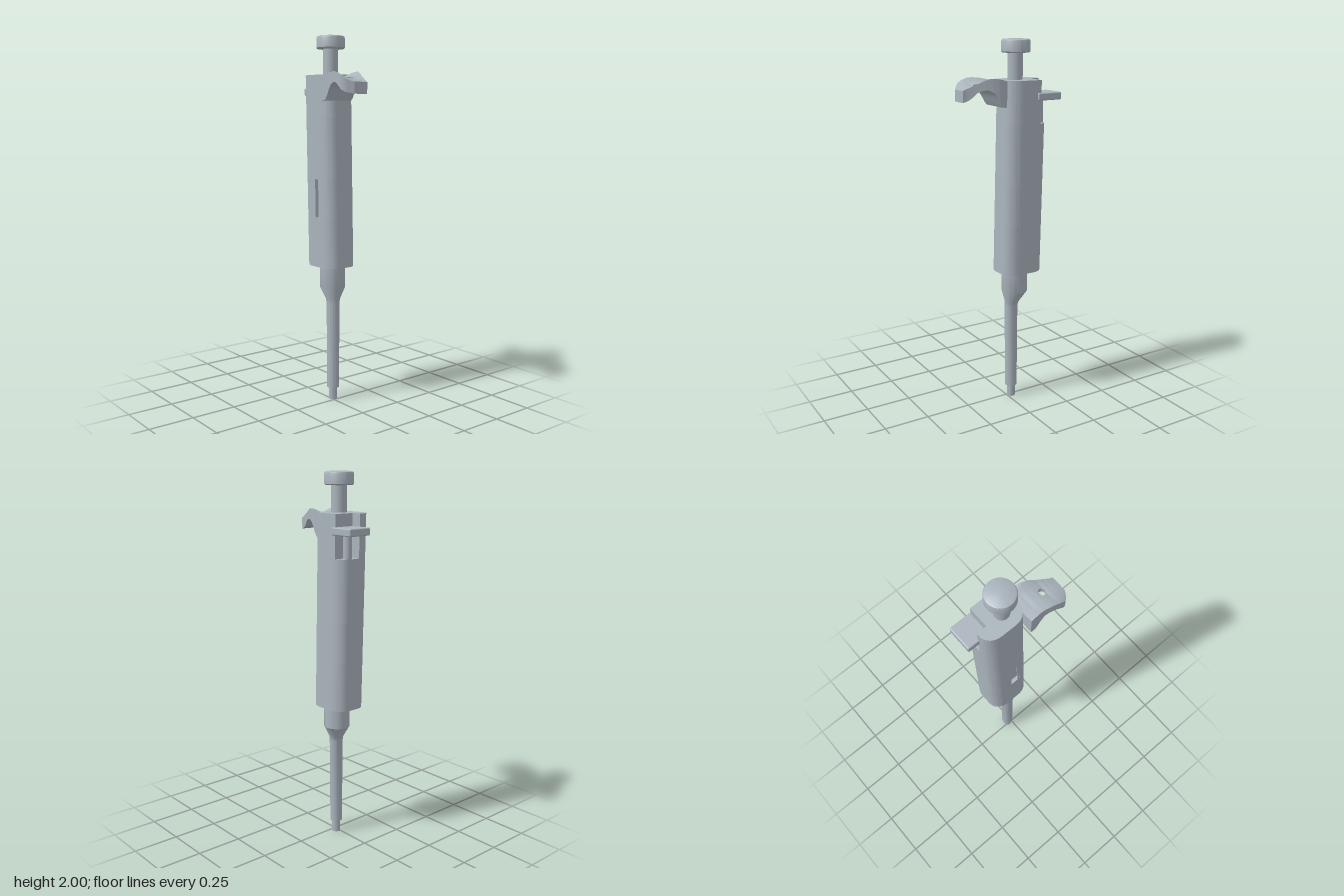
import * as THREE from 'three';
import { toCreasedNormals } from 'three/addons/utils/BufferGeometryUtils.js';
import { RoundedBoxGeometry } from 'three/addons/geometries/RoundedBoxGeometry.js';

const grey = new THREE.MeshStandardMaterial({ color: 0xaab4bc });
grey.name = 'cool grey';

// Piecewise-linear lookup through [x, y] points
function lookup(points, x) {
  if (x <= points[0][0]) return points[0][1];
  for (let i = 1; i < points.length; i++) {
    const [x0, y0] = points[i - 1], [x1, y1] = points[i];
    if (x <= x1) return y0 + (y1 - y0) * (x - x0) / (x1 - x0);
  }
  return points[points.length - 1][1];
}

function part(name, geometry) {
  const mesh = new THREE.Mesh(geometry, grey);
  mesh.name = name;
  return mesh;
}

function lathe(profile) {
  return new THREE.LatheGeometry(profile.map(([r, y]) => new THREE.Vector2(r, y)), 48);
}

// Move vertices by a rule, then rebuild normals with sharp edges kept
function reshape(geometry, rule) {
  const pos = geometry.attributes.position, v = new THREE.Vector3();
  for (let i = 0; i < pos.count; i++) {
    rule(v.fromBufferAttribute(pos, i));
    pos.setXYZ(i, v.x, v.y, v.z);
  }
  return toCreasedNormals(geometry, 0.5);
}

// Handle cross-section (x, -z), optionally with the rear notch or the front window recess
function handleSection({ notch, window }) {
  const L = -0.197, R = 0.04, F = -0.077, B = 0.12, cx = 0.08, cy = 0.07, k = 0.4;
  const s = new THREE.Shape();
  s.moveTo(L + cx, F);
  if (window) {
    const a = -0.054, b = a - 0.0, w = 0.054, x0 = b - w / 2, x1 = b + w / 2;
    s.lineTo(x0, F).lineTo(x0, F + 0.02).lineTo(x1, F + 0.02).lineTo(x1, F);
  }
  s.lineTo(R - cx, F);
  s.bezierCurveTo(R - cx * k, F, R, F + cy * k, R, F + cy);
  s.lineTo(R, B - cy);
  s.bezierCurveTo(R, B - cy * k, R - cx * k, B, R - cx, B);
  if (notch) {
    s.lineTo(-0.142, B).lineTo(-0.142, 0.005).lineTo(L, 0.005);
  } else {
    s.lineTo(L + cx, B);
    s.bezierCurveTo(L + cx * k, B, L, B - cy * k, L, B - cy);
  }
  s.lineTo(L, F + cy);
  s.bezierCurveTo(L, F + cy * k, L + cx * k, F, L + cx, F);
  return s;
}

// One length of the handle, leaning slightly towards +x as it goes down
function handleLength(name, y0, y1, options = {}) {
  const g = new THREE.ExtrudeGeometry(handleSection(options), {
    depth: y1 - y0, bevelEnabled: false, curveSegments: 12,
  });
  g.rotateX(-Math.PI / 2).translate(0, y0, 0);
  return part(name, reshape(g, v => { v.x += 0.025 * (1.795 - v.y) / 1.035; }));
}

// Curved finger rest: rings of quads from the hole out to the plan outline
function fingerRest() {
  const hole = new THREE.Vector2(0.165, 0.022), holeRadius = 0.018, steps = 16;
  const outline = [
    [0.03, 0.105], [0.08, 0.105], [0.11, 0.108], [0.15, 0.118], [0.185, 0.126], [0.205, 0.127],
    [0.22, 0.122], [0.235, 0.11], [0.26, 0.075], [0.26, -0.01], [0.24, -0.014], [0.2, -0.03],
    [0.15, -0.052], [0.11, -0.066], [0.08, -0.073], [0.03, -0.074],
  ];
  const top = [[0.03, 1.79], [0.07, 1.802], [0.1, 1.808], [0.135, 1.808], [0.165, 1.803],
    [0.195, 1.793], [0.225, 1.775], [0.26, 1.75]];
  const under = [[0.03, 1.66], [0.06, 1.66], [0.075, 1.685], [0.095, 1.72], [0.11, 1.737],
    [0.13, 1.748], [0.15, 1.751], [0.17, 1.747], [0.19, 1.737], [0.215, 1.712], [0.235, 1.698], [0.26, 1.69]];
  const dip = [[0.03, 0.012], [0.08, 0.025], [0.18, 0.03], [0.26, 0]];
  const topY = (x, z) => lookup(top, x) - lookup(dip, x) * Math.max(0, 1 - ((z - 0.03) / 0.09) ** 2);

  const rim = [];
  outline.forEach(([x, z], i) => {
    const [nx, nz] = outline[(i + 1) % outline.length];
    const n = Math.max(1, Math.round(Math.hypot(nx - x, nz - z) / 0.012));
    for (let j = 0; j < n; j++) rim.push(new THREE.Vector2(x + (nx - x) * j / n, z + (nz - z) * j / n));
  });

  const positions = [], index = [], loop = 2 * (steps + 1);
  rim.forEach((edge, i) => {
    const inner = edge.clone().sub(hole).setLength(holeRadius).add(hole);
    for (let k = 0; k < loop; k++) {
      const upper = k <= steps;
      const p = inner.clone().lerp(edge, (upper ? k : loop - 1 - k) / steps);
      positions.push(p.x, upper ? topY(p.x, p.y) : lookup(under, p.x), p.y);
      const k2 = (k + 1) % loop, i2 = (i + 1) % rim.length;
      const a = i * loop + k, b = i * loop + k2, c = i2 * loop + k2, d = i2 * loop + k;
      index.push(a, b, c, a, c, d);
    }
  });
  const g = new THREE.BufferGeometry();
  g.setAttribute('position', new THREE.Float32BufferAttribute(positions, 3));
  g.setIndex(index);
  return part('fingerRest', toCreasedNormals(g, 0.6));
}

export function createModel() {
  const model = new THREE.Group();
  model.name = 'pipette';

  // Handle, split where the window recess and the rear notch begin
  const handle = new THREE.Group();
  handle.name = 'handle';
  handle.add(
    handleLength('handleLower', 0.76, 1.03),
    handleLength('handleWindow', 1.03, 1.24, { window: true }),
    handleLength('handleMiddle', 1.24, 1.57),
    handleLength('handleUpper', 1.57, 1.795, { notch: true }),
  );
  model.add(handle);

  // Plunger: stem and bevelled thumb button
  const stem = part('plungerStem', new THREE.CylinderGeometry(0.04, 0.04, 0.18, 40));
  stem.position.set(-0.046, 1.86, -0.013);
  const button = part('plungerButton', toCreasedNormals(lathe([
    [0, 1.932], [0.07, 1.932], [0.076, 1.938], [0.076, 1.988], [0.073, 1.996], [0.066, 2], [0, 2],
  ]), 0.6));
  button.position.set(-0.049, 0, -0.015);
  model.add(stem, button);

  // Ejector tab on its rod in the rear notch
  const tab = part('ejectorTab', new RoundedBoxGeometry(0.142, 0.04, 0.137, 3, 0.007));
  tab.position.set(-0.189, 1.71, -0.0615);
  const rod = part('ejectorRod', new THREE.CylinderGeometry(0.022, 0.022, 0.13, 24));
  rod.position.set(-0.165, 1.63, -0.06);
  model.add(tab, rod);

  model.add(fingerRest());

  // Shaft: wide collar, taper that drifts off axis, slim tube and bored tip
  const shaft = lathe([
    [0.012, 0.06], [0.012, 0], [0.023, 0], [0.023, 0.068], [0.033, 0.068], [0.036, 0.55],
    [0.039, 0.575], [0.07, 0.64], [0.07, 0.77],
  ]);
  const bore = new THREE.CircleGeometry(0.012, 24);
  bore.rotateX(Math.PI / 2);
  const boreEnd = part('tipBoreEnd', bore);
  boreEnd.position.set(-0.024, 0.06, -0.012);
  model.add(part('shaft', reshape(shaft, v => {
    const t = THREE.MathUtils.smoothstep(v.y, 0.55, 0.64);
    v.x += -0.024 - 0.016 * t;
    v.z += -0.012 - 0.009 * t;
  })), boreEnd);

  return model;
}
